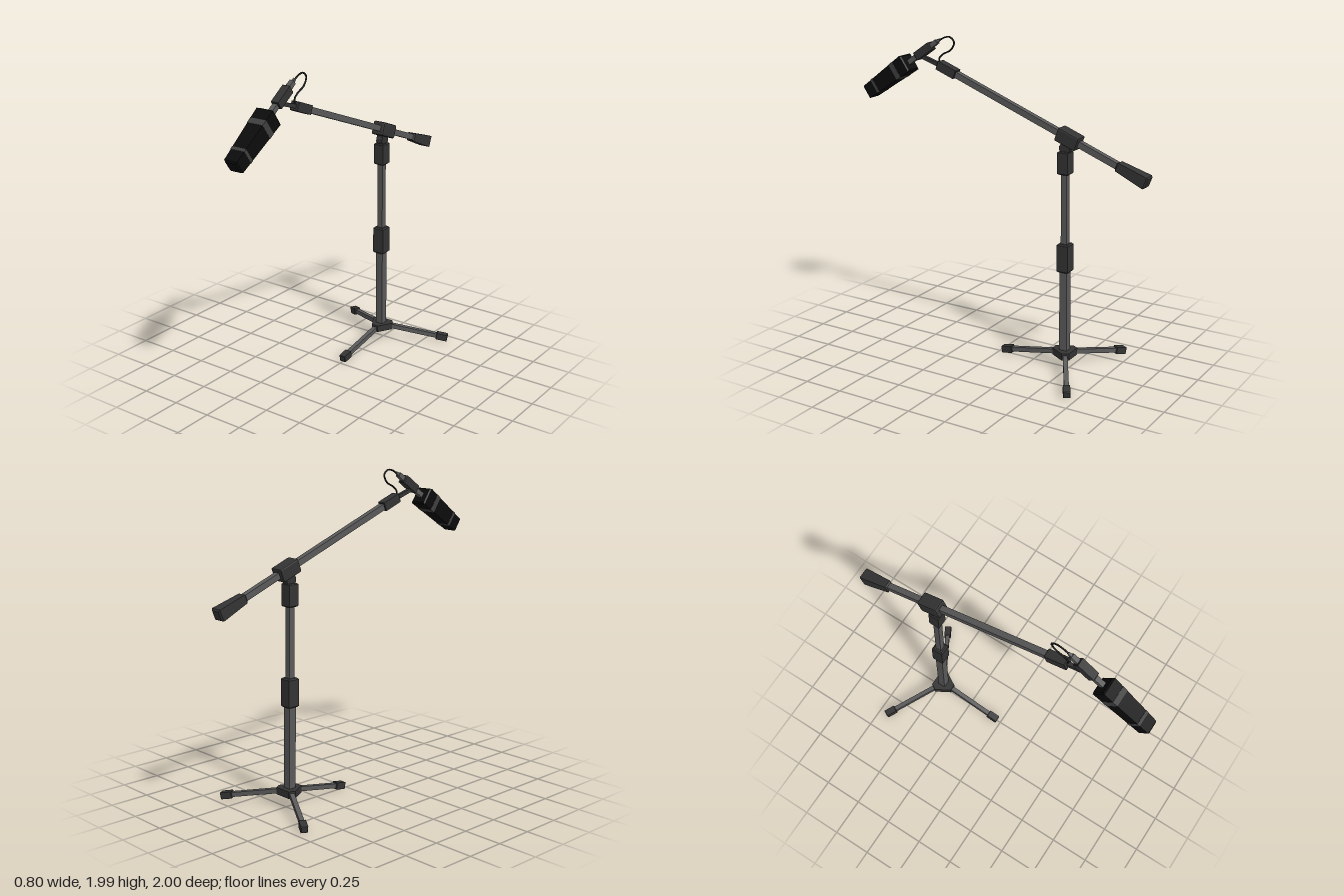
import * as THREE from 'three';
import { RoundedBoxGeometry } from 'three/addons/geometries/RoundedBoxGeometry.js';

const UP = new THREE.Vector3(0, 1, 0);

export function createModel() {
  const root = new THREE.Group();
  root.name = 'microphoneOnBoomStand';

  const mat = (name, hex) => {
    const m = new THREE.MeshStandardMaterial({ color: hex, flatShading: true });
    m.name = name;
    return m;
  };
  const metal = mat('tube grey', 0x5a5a5a);
  const plastic = mat('dark plastic', 0x343434);
  const black = mat('microphone black', 0x0c0c0c);
  const trim = mat('band grey', 0x404040);
  const cord = mat('cable black', 0x222222);

  const add = (name, geo, material, parent = root) => {
    const mesh = new THREE.Mesh(geo, material);
    mesh.name = name;
    parent.add(mesh);
    return mesh;
  };

  // Closed bar from a to b; r0 and r1 are half widths across the flats,
  // bevel softens both ends, and four sides give a square section
  function bar(name, a, b, r0, r1, material, { bevel = 0, sides = 4, parent = root } = {}) {
    const L = a.distanceTo(b);
    const pts = [[0, 0]];
    if (bevel) pts.push([r0 - bevel, 0], [r0, bevel], [r1, L - bevel], [r1 - bevel, L]);
    else pts.push([r0, 0], [r1, L]);
    pts.push([0, L]);
    const k = 1 / Math.cos(Math.PI / sides);
    const geo = new THREE.LatheGeometry(pts.map(([r, y]) => new THREE.Vector2(r * k, y)), sides);
    geo.rotateY(Math.PI / sides);
    const mesh = add(name, geo, material, parent);
    mesh.position.copy(a);
    mesh.quaternion.setFromUnitVectors(UP, b.clone().sub(a).normalize());
    return mesh;
  }

  const P = (y, z) => new THREE.Vector3(0, y, z);

  // Tripod base: three-lobed hub and three sloping legs
  const base = new THREE.Group();
  base.name = 'tripodBase';
  base.position.z = -0.47;
  root.add(base);
  const lobes = [];
  for (let i = 0; i < 3; i++) {
    const t = i * Math.PI * 2 / 3 - Math.PI / 2;
    for (const w of [-0.022, 0.022]) {
      lobes.push(new THREE.Vector2(
        0.076 * Math.cos(t) - w * Math.sin(t), 0.076 * Math.sin(t) + w * Math.cos(t)));
    }
  }
  const hubGeo = new THREE.ExtrudeGeometry(new THREE.Shape(lobes), { depth: 0.044, bevelEnabled: false });
  hubGeo.rotateX(-Math.PI / 2);
  add('legHub', hubGeo, plastic, base).position.y = 0.08;
  for (let i = 0; i < 3; i++) {
    const leg = new THREE.Group();
    leg.name = 'leg' + (i + 1);
    leg.rotation.y = i * Math.PI * 2 / 3;
    base.add(leg);
    bar('legTube', P(0.104, 0.04), P(0.038, 0.39), 0.0145, 0.0145, metal, { parent: leg });
    bar('rubberFoot', P(0.041, 0.372), P(0.027, 0.446), 0.0215, 0.0215, plastic, { bevel: 0.003, parent: leg });
  }

  // Upright pole, leaning very slightly forward
  const pole = y => P(y, -0.47 + 0.0145 * y);
  bar('lowerPole', pole(0.09), pole(0.66), 0.025, 0.025, metal);
  bar('heightClutch', pole(0.63), pole(0.81), 0.038, 0.038, plastic, { bevel: 0.008 });
  bar('upperPole', pole(0.78), pole(1.27), 0.019, 0.019, metal);
  bar('topCollar', pole(1.24), pole(1.38), 0.035, 0.035, plastic, { bevel: 0.006 });
  bar('swivelNeck', pole(1.36), pole(1.45), 0.022, 0.022, plastic);
  bar('swivelKnuckle', new THREE.Vector3(-0.022, 1.4, -0.455), new THREE.Vector3(0.022, 1.4, -0.455),
    0.035, 0.035, plastic, { sides: 12 });

  // Boom arm, addressed by its z coordinate
  const boom = z => P(1.643 + 0.384 * z, z);
  bar('boomTube', boom(-0.83), boom(0.35), 0.019, 0.019, metal);
  const clamp = add('boomClamp', new RoundedBoxGeometry(0.088, 0.086, 0.146, 1, 0.01), plastic);
  clamp.position.copy(boom(-0.475));
  clamp.rotation.x = -Math.atan(0.384);
  bar('counterweightGrip', boom(-0.988), boom(-0.79), 0.037, 0.027, plastic, { bevel: 0.009 });
  bar('boomEndCollar', boom(0.31), boom(0.44), 0.028, 0.028, plastic, { bevel: 0.003 });
  bar('boomTip', boom(0.42), P(1.862, 0.6), 0.013, 0.011, plastic);

  // Microphone, addressed by distance along its axis from the lower end
  const mic = s => P(1.588 + 0.57 * s, 0.978 - 0.822 * s);
  const micR = s => 0.044 + 0.034 * s;
  bar('microphoneBody', mic(-0.002), mic(0.384), 0.044, 0.057, black, { bevel: 0.009 });
  for (const [name, s0, s1] of [['lowerBand', 0.08, 0.1], ['upperBand', 0.268, 0.305]]) {
    bar(name, mic(s0), mic(s1), micR(s0) + 0.0015, micR(s1) + 0.0015, trim);
  }
  bar('microphoneStem', mic(0.375), mic(0.48), 0.016, 0.016, metal);
  bar('microphoneClip', mic(0.455), mic(0.59), 0.026, 0.026, plastic, { bevel: 0.003 });
  bar('plug', mic(0.58), mic(0.64), 0.016, 0.014, metal);
  bar('plugTip', mic(0.635), mic(0.665), 0.01, 0.006, metal);

  // Cable looping from the plug back to the boom collar
  const path = new THREE.CatmullRomCurve3([[1.958, 0.44], [1.982, 0.396], [1.986, 0.355],
    [1.957, 0.327], [1.91, 0.351], [1.878, 0.41], [1.85, 0.437], [1.805, 0.437]].map(p => P(...p)));
  add('cable', new THREE.TubeGeometry(path, 32, 0.0055, 6), cord);

  return root;
}
